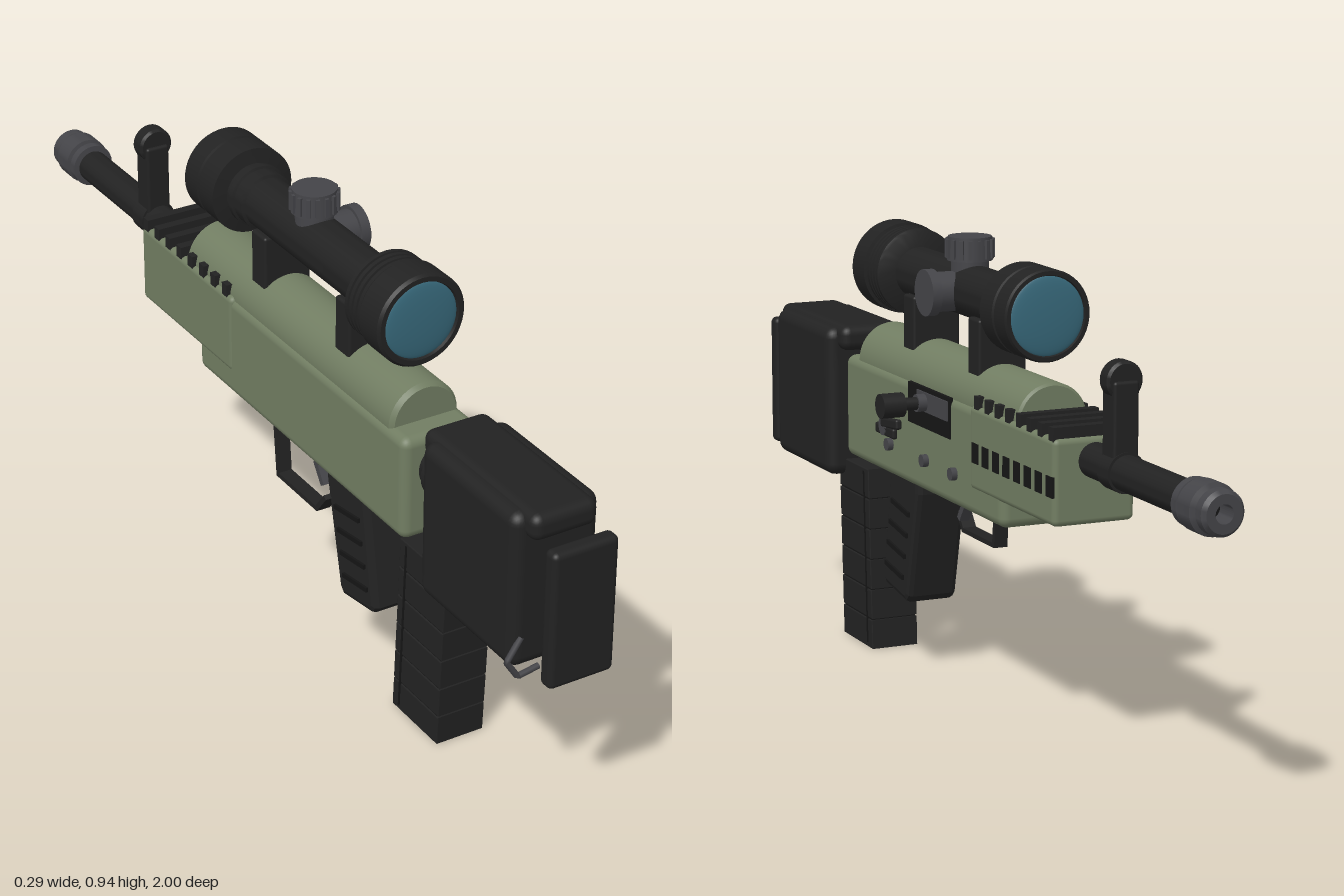
import * as THREE from 'three';
import { toCreasedNormals } from 'three/addons/utils/BufferGeometryUtils.js';
import { RoundedBoxGeometry } from 'three/addons/geometries/RoundedBoxGeometry.js';

const material = (name, color) => {
  const m = new THREE.MeshStandardMaterial({ color });
  m.name = name;
  return m;
};

export function createModel() {
  const model = new THREE.Group();
  model.name = 'rifle';
  model.position.x = -0.04; // the bolt handle on the left offsets the centre line

  const green = material('olive green', 0x717d62);
  const black = material('matt black', 0x222222);
  const dark = material('deep black', 0x151515);
  const grey = material('gunmetal grey', 0x444448);
  const glass = material('lens blue', 0x37687a);

  const add = (name, geometry, mat, x = 0, y = 0, z = 0) => {
    const mesh = new THREE.Mesh(geometry, mat);
    mesh.name = name;
    mesh.position.set(x, y, z);
    model.add(mesh);
    return mesh;
  };
  // Box given by its ranges in y and z, with width w around x
  const box = (name, mat, w, y0, y1, z0, z1, r = 0, x = 0) => {
    const h = y1 - y0, d = z1 - z0;
    const g = r ? new RoundedBoxGeometry(w, h, d, 3, r) : new THREE.BoxGeometry(w, h, d);
    return add(name, g, mat, x, (y0 + y1) / 2, (z0 + z1) / 2);
  };
  // Profile of [radius, z] turned about the z axis
  const turned = (name, mat, y, profile, sides = 32) => {
    const g = new THREE.LatheGeometry(profile.map(p => new THREE.Vector2(p[0], p[1])), sides);
    g.rotateX(Math.PI / 2);
    return add(name, toCreasedNormals(g, 0.5), mat, 0, y, 0);
  };
  // Side profile of [z, y] extruded across x
  const side = (name, mat, w, pts, bevel = 0, x = 0) => {
    const g = new THREE.ExtrudeGeometry(new THREE.Shape(pts.map(p => new THREE.Vector2(p[0], p[1]))), {
      depth: w - 2 * bevel, bevelEnabled: bevel > 0, bevelSize: bevel, bevelThickness: bevel,
      bevelOffset: -bevel, bevelSegments: 2,
    });
    g.translate(0, 0, -(w - 2 * bevel) / 2);
    g.rotateY(-Math.PI / 2);
    return add(name, g, mat, x);
  };
  // Cylinder along x
  const crossPin = (name, mat, r, x0, x1, y, z, sides = 24) => {
    const g = new THREE.CylinderGeometry(r, r, x1 - x0, sides);
    g.rotateZ(Math.PI / 2);
    return add(name, g, mat, (x0 + x1) / 2, y, z);
  };

  // Receiver and handguard
  box('receiver', green, 0.164, 0.418, 0.637, -0.265, 0.525, 0.02);
  turned('receiverTop', green, 0.635, [[0, -0.32], [0.07, -0.32], [0.075, -0.315], [0.075, 0.46], [0.068, 0.47], [0, 0.47]], 40);
  box('handguard', green, 0.17, 0.472, 0.64, -0.5, -0.12, 0.012);
  for (let i = 0; i < 8; i++) {
    const z = -0.15 - i * 0.0475;
    box('coolingRib', black, 0.166, 0.632, 0.661, z - 0.01, z + 0.01);
    box('ventSlot', dark, 0.006, 0.528, 0.568, z - 0.014, z + 0.014, 0, 0.084);
  }

  // Ejection port and bolt
  box('ejectionPort', dark, 0.008, 0.553, 0.636, -0.027, 0.18, 0, 0.081);
  box('boltCarrier', grey, 0.008, 0.588, 0.628, -0.02, 0.13, 0, 0.084);
  crossPin('boltBase', grey, 0.018, 0.08, 0.106, 0.607, 0.092);
  crossPin('boltStem', black, 0.013, 0.09, 0.145, 0.607, 0.09);
  crossPin('boltKnob', black, 0.025, 0.137, 0.185, 0.607, 0.09);

  // Controls on the left side
  crossPin('selectorPivot', grey, 0.02, 0.08, 0.096, 0.524, 0.29);
  const lever = box('selectorLever', black, 0.014, 0.524, 0.545, 0.215, 0.3, 0.005, 0.09);
  lever.rotation.x = 0.1;
  box('selectorTab', black, 0.012, 0.504, 0.526, 0.235, 0.33, 0.005, 0.09);
  for (const z of [0.275, 0.094, -0.047]) crossPin('receiverPin', grey, 0.013, 0.078, 0.094, 0.487, z, 16);

  // Barrel, muzzle and front sight
  turned('barrel', black, 0.595, [[0, -0.9], [0.034, -0.9], [0.034, -0.45], [0, -0.45]]);
  turned('muzzle', grey, 0.595, [[0.018, -0.94], [0.018, -1], [0.036, -1], [0.043, -0.992], [0.043, -0.972],
    [0.039, -0.97], [0.039, -0.965], [0.049, -0.96], [0.049, -0.915], [0.039, -0.912], [0.039, -0.907],
    [0.046, -0.905], [0.046, -0.887], [0.03, -0.885]]);
  turned('muzzleBore', dark, 0.595, [[0, -0.95], [0.02, -0.95], [0.02, -0.94], [0, -0.94]], 20);
  turned('sightBand', black, 0.595, [[0.03, -0.63], [0.039, -0.63], [0.039, -0.585], [0.03, -0.585]]);
  box('sightPost', black, 0.052, 0.61, 0.765, -0.628, -0.578, 0.006);
  turned('sightHead', black, 0.765, [[0, -0.622], [0.032, -0.622], [0.037, -0.617], [0.037, -0.59], [0.032, -0.585], [0, -0.585]]);

  // Telescopic sight
  const axis = 0.835;
  turned('scopeTube', black, axis, [[0, -0.2], [0.053, -0.2], [0.053, 0.34], [0, 0.34]], 40);
  turned('rearBell', black, axis, [[0.075, -0.285], [0.079, -0.298], [0.087, -0.298], [0.09, -0.293], [0.09, -0.245],
    [0.086, -0.243], [0.086, -0.237], [0.09, -0.235], [0.09, -0.18], [0.06, -0.175], [0.06, -0.165],
    [0.064, -0.163], [0.064, -0.15], [0.059, -0.148], [0.059, -0.118], [0.052, -0.115]], 48);
  const front = [[0.052, 0.315], [0.084, 0.322]];
  for (let i = 0; i < 4; i++) {
    const z = 0.325 + i * 0.015;
    front.push([0.09, z], [0.09, z + 0.009], [0.085, z + 0.01], [0.085, z + 0.014]);
  }
  front.push([0.095, 0.386], [0.095, 0.447], [0.09, 0.453], [0.08, 0.453], [0.076, 0.44]);
  turned('frontBell', black, axis, front, 48);
  for (const [z, name] of [[0.447, 'frontLens'], [-0.292, 'rearLens']]) {
    const lens = add(name, new THREE.SphereGeometry(0.078, 40, 20), glass, 0, axis, z);
    lens.scale.z = 0.12;
  }
  for (const z of [0.253, -0.067]) box('scopeMount', black, 0.104, 0.67, 0.8, z - 0.027, z + 0.027, 0.006);

  // Adjustment turrets
  add('topTurretBase', new THREE.CylinderGeometry(0.038, 0.038, 0.06, 32), grey, 0, 0.87, 0.063);
  add('topTurret', new THREE.CylinderGeometry(0.044, 0.046, 0.048, 32), grey, 0, 0.92, 0.063);
  for (let i = 0; i < 16; i++) {
    const a = i / 16 * Math.PI * 2;
    const ridge = add('turretRidge', new THREE.BoxGeometry(0.008, 0.038, 0.01), grey,
      Math.sin(a) * 0.045, 0.92, 0.063 + Math.cos(a) * 0.045);
    ridge.rotation.y = a;
  }
  crossPin('sideTurretBase', grey, 0.04, 0.03, 0.09, axis, 0.063, 32);
  crossPin('sideTurret', grey, 0.047, 0.08, 0.1, axis, 0.063, 32);

  // Stock
  turned('stockTube', black, 0.565, [[0, 0.5], [0.048, 0.5], [0.048, 0.545], [0.058, 0.547], [0.058, 0.57],
    [0.048, 0.572], [0.048, 0.61], [0, 0.61]]);
  box('stock', black, 0.185, 0.355, 0.68, 0.595, 0.908, 0.025);
  box('cheekPad', black, 0.14, 0.632, 0.686, 0.565, 0.936, 0.02);
  box('buttPlate', black, 0.14, 0.36, 0.645, 0.965, 1, 0.012);
  const loop = new THREE.CurvePath();
  const corners = [[-0.07, 0.425], [-0.1, 0.38], [-0.075, 0.342], [-0.03, 0.35]].map(p => new THREE.Vector3(p[0], p[1], 0));
  for (let i = 0; i < 3; i++) loop.add(new THREE.LineCurve3(corners[i], corners[i + 1]));
  add('slingLoop', new THREE.TubeGeometry(loop, 24, 0.006, 8), grey, 0, 0, 0.907);

  // Magazine: slanted core with stacked bands
  const lean = y => 0.02 * y / 0.395;
  const slab = (y0, y1, inset) => [[0.452 + lean(y0) + inset, y0], [0.612 + lean(y0) - inset, y0],
    [0.612 + lean(y1) - inset, y1], [0.452 + lean(y1) + inset, y1]];
  side('magazineCore', dark, 0.1, slab(0.002, 0.39, 0.004));
  for (let i = 0; i < 6; i++) {
    side('magazineBand', black, 0.106, slab(i * 0.0658, i * 0.0658 + 0.0625, 0), 0.002);
  }
  side('magazineGroove', dark, 0.109, [[0.474, 0.01], [0.479, 0.01], [0.497, 0.385], [0.492, 0.385]]);

  // Pistol grip with slanted ribs
  side('grip', black, 0.112, [[0.345, 0.425], [0.2, 0.425], [0.2, 0.39], [0.252, 0.162], [0.265, 0.148], [0.375, 0.165], [0.387, 0.18]], 0.012);
  for (let i = 0; i < 4; i++) {
    const y = 0.195 + i * 0.047, z = 0.318 - i * 0.011;
    side('gripRib', dark, 0.122, [[z - 0.045, y], [z + 0.045, y + 0.014], [z + 0.045, y + 0.024], [z - 0.045, y + 0.01]]);
  }

  // Trigger and guard
  side('triggerGuard', black, 0.03, [[0.02, 0.425], [0.032, 0.306], [0.19, 0.306], [0.225, 0.35], [0.216, 0.356],
    [0.185, 0.316], [0.041, 0.316], [0.031, 0.425]], 0, -0.055);
  side('trigger', grey, 0.022, [[0.17, 0.425], [0.145, 0.38], [0.168, 0.345], [0.157, 0.338], [0.128, 0.378], [0.148, 0.425]], 0, -0.03);

  return model;
}
